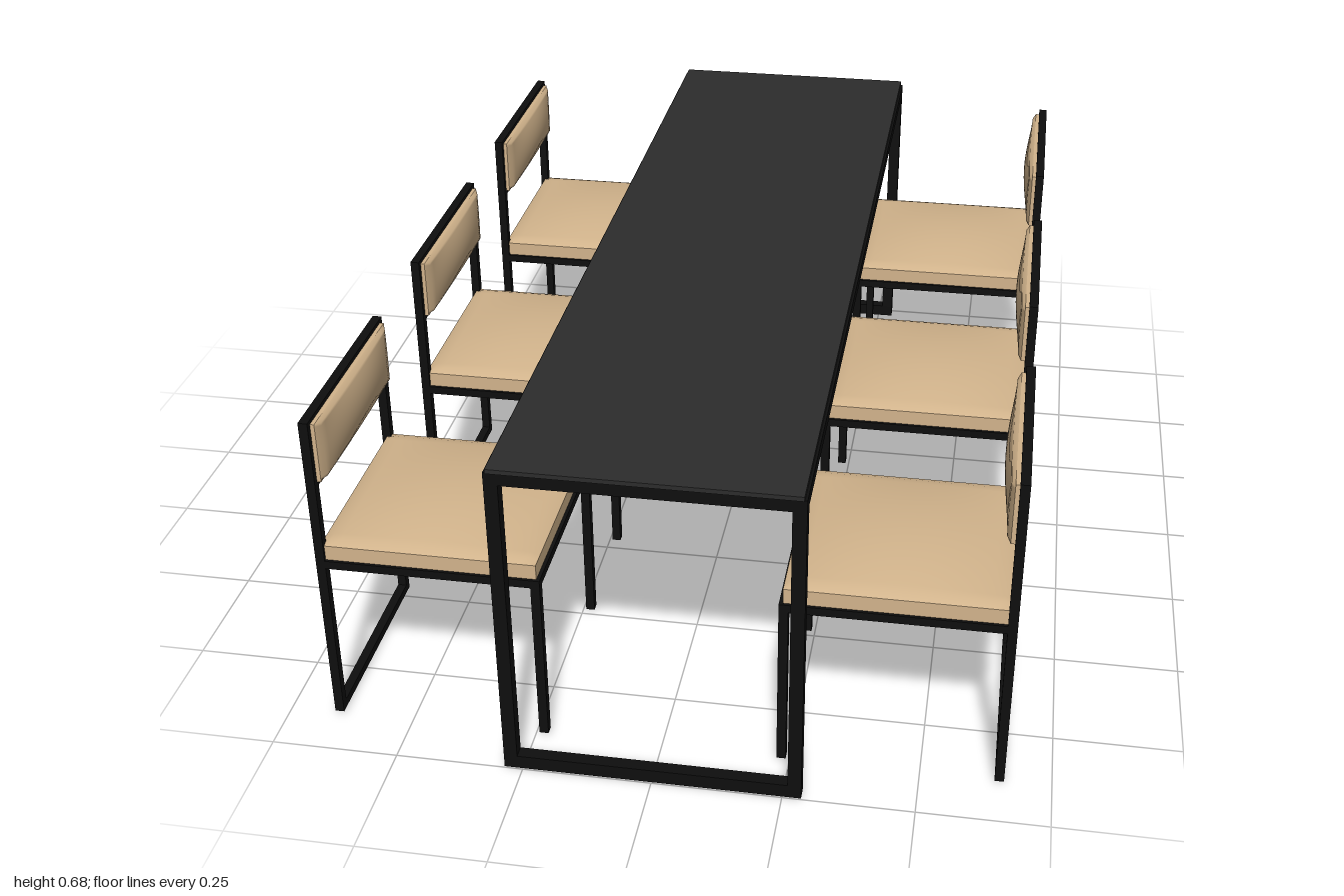
import * as THREE from 'three';

const black = new THREE.MeshStandardMaterial({ color: 0x0e0e0e });
const charcoal = new THREE.MeshStandardMaterial({ color: 0x2c2c2c });
const tan = new THREE.MeshStandardMaterial({ color: 0xd2b48c });

// Box given by its minimum and maximum corners
function bar(parent, name, a, b, material = black) {
  const size = a.map((v, i) => b[i] - v);
  const mesh = new THREE.Mesh(new THREE.BoxGeometry(...size), material);
  mesh.position.set(...a.map((v, i) => (v + b[i]) / 2));
  mesh.name = name;
  parent.add(mesh);
  return mesh;
}

// Upholstered pad: flat base at y = 0, softened rim and a domed top
function cushion(name, w, h, d, bulge, rim) {
  const geo = new THREE.BoxGeometry(w, h, d, 24, 1, 24);
  geo.translate(0, h / 2, 0);
  const p = geo.attributes.position;
  for (let i = 0; i < p.count; i++) {
    if (p.getY(i) < h / 2) continue;
    const u = Math.abs(p.getX(i)) / (w / 2), v = Math.abs(p.getZ(i)) / (d / 2);
    const dome = bulge * (1 - u * u) * Math.max(0, 1 - (v / 0.94) ** 2);
    const edge = Math.max(u, v) > 0.999 ? rim : 0;
    p.setY(i, h + dome - edge);
  }
  geo.computeVertexNormals();
  const mesh = new THREE.Mesh(geo, tan);
  mesh.name = name;
  return mesh;
}

// Chair facing -x, its back at x = 0.66
function createChair() {
  const chair = new THREE.Group();
  const t = 0.018, hw = 0.212, back = 0.66, front = 0.225;
  for (const s of [-1, 1]) {
    const z0 = s > 0 ? hw - t : -hw, z1 = z0 + t;
    bar(chair, 'backPost', [back - t, 0.006, z0], [back, 0.672, z1]);
    bar(chair, 'frontLeg', [front, 0.006, z0], [front + t, 0.352, z1]);
    bar(chair, 'seatSideRail', [front, 0.352, z0], [back - t, 0.369, z1]);
  }
  const inner = hw - t;
  bar(chair, 'seatFrontRail', [front, 0.352, -inner], [front + t, 0.369, inner]);
  for (const [name, y] of [['floorRail', 0.006], ['seatBackRail', 0.352], ['backrestLowerRail', 0.53], ['backrestTopRail', 0.655]])
    bar(chair, name, [back - t, y, -inner], [back, y + 0.017, inner]);

  const seat = cushion('seatCushion', 0.418, 0.042, 0.412, 0.021, 0.006);
  seat.position.set(0.441, 0.364, 0);
  chair.add(seat);

  // The backrest pad is the same pad turned to face the table
  const rest = cushion('backrestCushion', 0.124, 0.023, 0.4, 0.013, 0.007);
  rest.rotation.z = Math.PI / 2;
  rest.position.set(0.65, 0.602, 0);
  chair.add(rest);
  return chair;
}

function createTable() {
  const table = new THREE.Group();
  table.name = 'table';
  const w = 0.286, t = 0.026, low = 0.643, high = 0.668;
  bar(table, 'tableTop', [-0.281, high, -1], [0.281, 0.677, 1], charcoal);
  for (const s of [-1, 1]) {
    // Closed rectangular frame at each end
    const z0 = s > 0 ? 0.971 : -0.997, z1 = z0 + t;
    bar(table, 'floorRail', [-w, 0.002, z0], [w, 0.03, z1]);
    bar(table, 'endRail', [-w, low, z0], [w, high, z1]);
    const x0 = s > 0 ? w - t : -w;
    for (const x of [-w, w - t])
      bar(table, 'leg', [x, 0.03, z0], [x + t, low, z1]);
    bar(table, 'sideRail', [x0, low, -0.971], [x0 + t, high, 0.971]);
  }
  return table;
}

export function createModel() {
  const model = new THREE.Group();
  model.name = 'diningSet';
  model.add(createTable());
  // Three chairs along each long side
  for (const z of [-0.657, 0.012, 0.683])
    for (const side of ['left', 'right']) {
      const chair = createChair();
      chair.name = side + 'Chair';
      chair.position.z = z;
      if (side === 'right') chair.rotation.y = Math.PI;
      model.add(chair);
    }
  return model;
}
